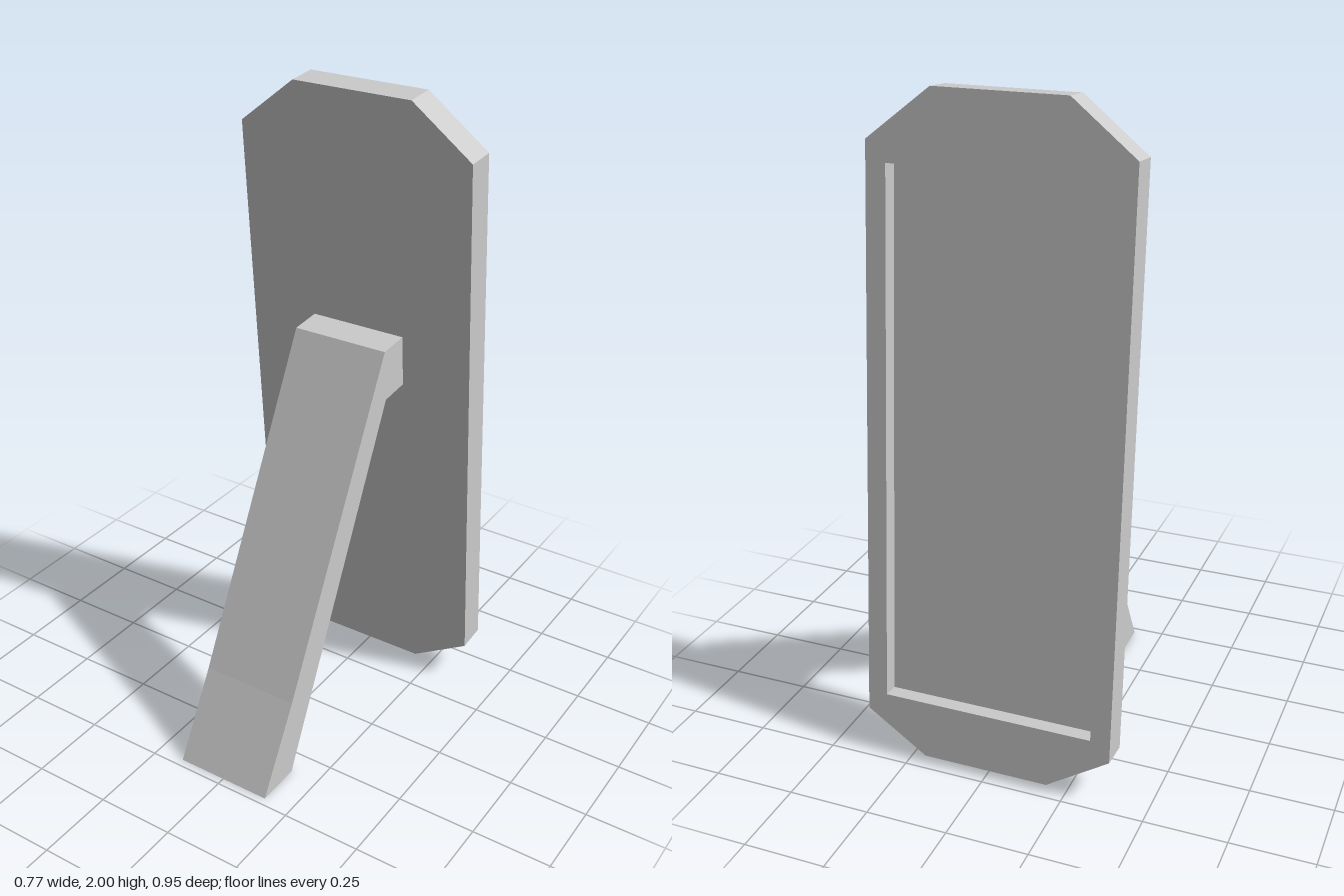
import * as THREE from 'three';

const material = new THREE.MeshStandardMaterial({ color: 0xcccccc, flatShading: true });

const toPoints = (pairs) => pairs.map(([x, y]) => new THREE.Vector2(x, y));

function extrude(name, shape, depth, z = 0) {
  const geometry = new THREE.ExtrudeGeometry(shape, { depth, bevelEnabled: false });
  geometry.translate(0, 0, z);
  const mesh = new THREE.Mesh(geometry, material);
  mesh.name = name;
  return mesh;
}

// Long panel outline with clipped corners, bottom edge at y = 0
function panelShape() {
  const w = 0.385, tip = 0.195, length = 1.982;
  return new THREE.Shape(toPoints([
    [-tip, 0], [tip, 0], [w, 0.12], [w, length - 0.15],
    [tip, length], [-tip, length], [-w, length - 0.15], [-w, 0.12],
  ]));
}

export function createModel() {
  const model = new THREE.Group();
  model.name = 'standingPanel';

  // Tilted panel: a rim around a shallow recess on the back, closed by a front plate
  const panel = new THREE.Group();
  panel.name = 'panel';
  const recessDepth = 0.05, thickness = 0.095;
  const rim = panelShape();
  rim.holes.push(new THREE.Path(toPoints([
    [-0.325, 0.178], [-0.325, 1.772], [0.325, 1.772], [0.325, 0.178],
  ])));
  panel.add(
    extrude('rim', rim, recessDepth),
    extrude('frontPlate', panelShape(), thickness - recessDepth, recessDepth),
  );
  panel.position.set(0, 0.025, -0.475);
  panel.rotation.x = 0.083;
  model.add(panel);

  // Bent support leg, drawn as a side profile (z, y) and extruded across x
  const legWidth = 0.315;
  const leg = extrude('supportLeg', new THREE.Shape(toPoints([
    [0.33, 0], [0.475, 0], [0.325, 0.265], [-0.175, 1.243],
    [-0.28, 1.252], [-0.293, 1.088], [-0.19, 1.078],
  ])), legWidth, -legWidth / 2);
  leg.rotation.y = -Math.PI / 2;
  model.add(leg);

  return model;
}
